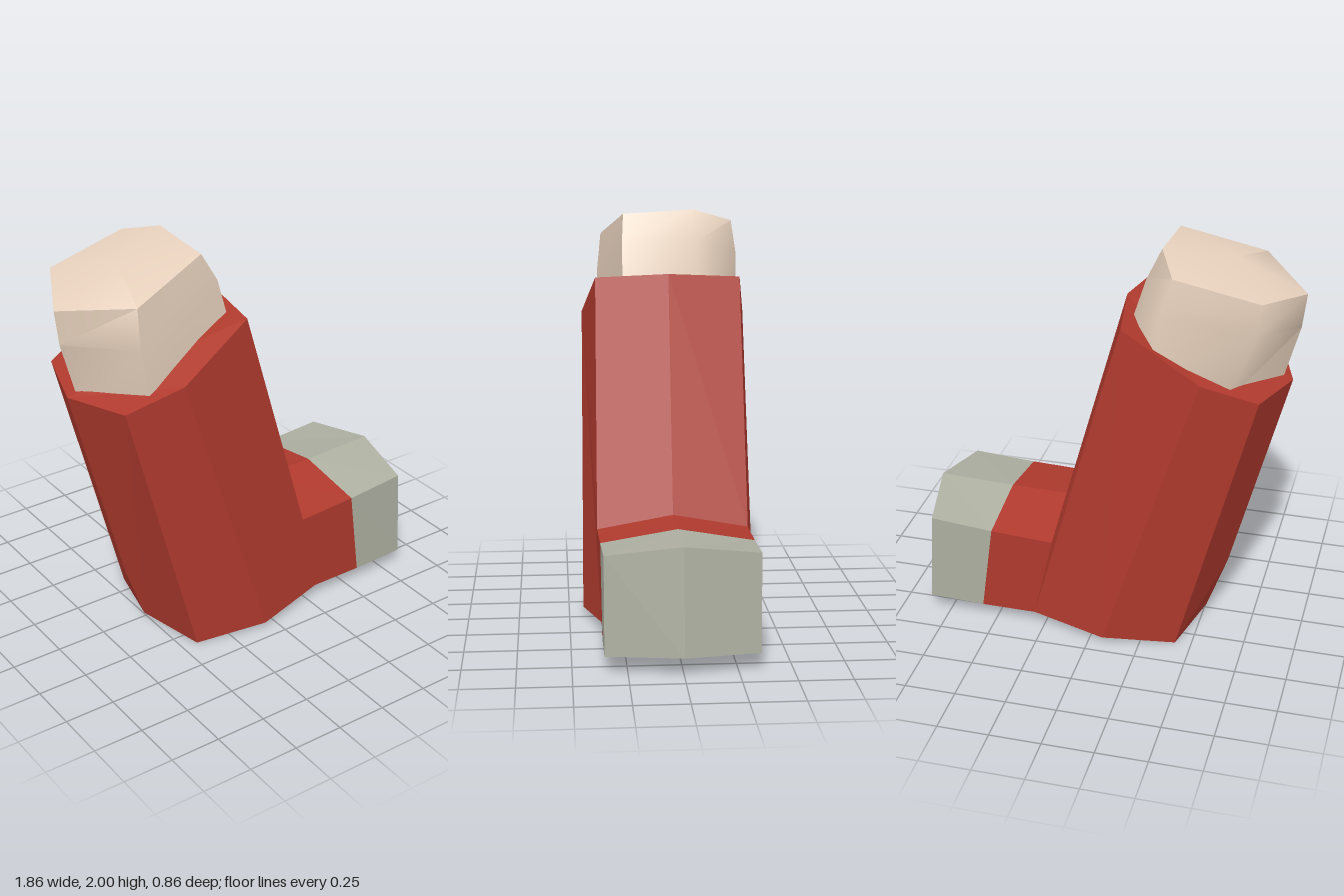
import * as THREE from 'three';
import { toCreasedNormals } from 'three/addons/utils/BufferGeometryUtils.js';

// Fan each polygon into triangles
function facesGeometry(polygons) {
  const pos = [];
  for (const p of polygons) {
    for (let i = 1; i < p.length - 1; i++) pos.push(...p[0], ...p[i], ...p[i + 1]);
  }
  const g = new THREE.BufferGeometry();
  g.setAttribute('position', new THREE.Float32BufferAttribute(pos, 3));
  g.computeVertexNormals();
  return g;
}

// Add the mirrored (z -> -z) copy of a half shell
function mirrored(half) {
  const other = half.map((poly) => poly.map(([x, y, z]) => [x, y, -z]).reverse());
  return facesGeometry([...half, ...other]);
}

function part(name, geometry, color, flatShading) {
  const mesh = new THREE.Mesh(geometry, new THREE.MeshStandardMaterial({ color, flatShading, side: THREE.DoubleSide }));
  mesh.name = name;
  return mesh;
}

export function createModel() {
  const group = new THREE.Group();
  group.name = 'inhaler';

  // Sloping rim of the barrel, from back ridge to front ridge
  const rim = [[-0.885, 1.35, 0], [-0.78, 1.37, 0.33], [-0.52, 1.47, 0.415], [-0.14, 1.68, 0.355], [-0.085, 1.7, 0]];
  // Foot of the barrel
  const heel = [-0.61, 0.3, 0];
  const foot = [[-0.51, 0.02, 0], [-0.42, 0.0, 0.34], [-0.07, 0.03, 0.43]];
  // Spout sections: top ridge, top corner, bottom corner, bottom middle
  const joint = [[0.22, 0.57, 0], [0.2, 0.5, 0.365], [0.3, 0.065, 0.35], [0.3, 0.065, 0]];
  const seam = [[0.51, 0.575, 0], [0.51, 0.515, 0.36], [0.57, 0.07, 0.355], [0.57, 0.07, 0]];
  const tip = [[0.885, 0.59, 0], [0.82, 0.54, 0.355], [0.845, 0.08, 0.355], [0.925, 0.09, 0]];

  // Roof, side and floor between two spout sections
  const spout = (a, b) => [0, 1, 2].map((i) => [a[i], a[i + 1], b[i + 1], b[i]]);

  const body = mirrored([
    [rim[1], rim[0], heel, foot[0], foot[1]],
    [rim[1], foot[1], foot[2], rim[2]],
    [rim[2], foot[2], joint[2], joint[1], rim[3]],
    [rim[3], joint[1], joint[0], rim[4]],
    rim,
    [foot[0], joint[3], joint[2], foot[2], foot[1]],
    ...spout(joint, seam),
  ]);
  group.add(part('body', body, 0xb03a2e, true));

  // Mouthpiece cover with a pointed end
  const cover = mirrored([...spout(seam, tip), [tip[1], tip[2], tip[3], tip[0]]]);
  group.add(part('mouthpieceCap', cover, 0xadafa1, true));

  // Six-sided canister, rings from inside the barrel up to the domed top
  const rings = [
    [[-0.82, 1.29, 0], [-0.61, 1.34, -0.33], [-0.27, 1.46, -0.35], [-0.12, 1.56, -0.15], [-0.13, 1.56, 0.22], [-0.63, 1.34, 0.32]],
    [[-0.91, 1.62, 0], [-0.75, 1.69, -0.325], [-0.32, 1.78, -0.355], [-0.21, 1.85, -0.15], [-0.21, 1.84, 0.22], [-0.69, 1.66, 0.33]],
    [[-0.93, 1.79, 0], [-0.77, 1.85, -0.31], [-0.37, 1.94, -0.335], [-0.28, 2.0, -0.14], [-0.29, 1.98, 0.21], [-0.69, 1.855, 0.31]],
  ];
  const crown = [-0.6, 1.94, 0];
  const shell = [];
  for (let k = 0; k < 6; k++) {
    const n = (k + 1) % 6;
    for (let r = 0; r < 2; r++) shell.push([rings[r][n], rings[r][k], rings[r + 1][k], rings[r + 1][n]]);
    shell.push([rings[2][n], rings[2][k], crown]);
  }
  group.add(part('canister', toCreasedNormals(facesGeometry(shell), 1.1), 0xe6d0bc, false));

  return group;
}
